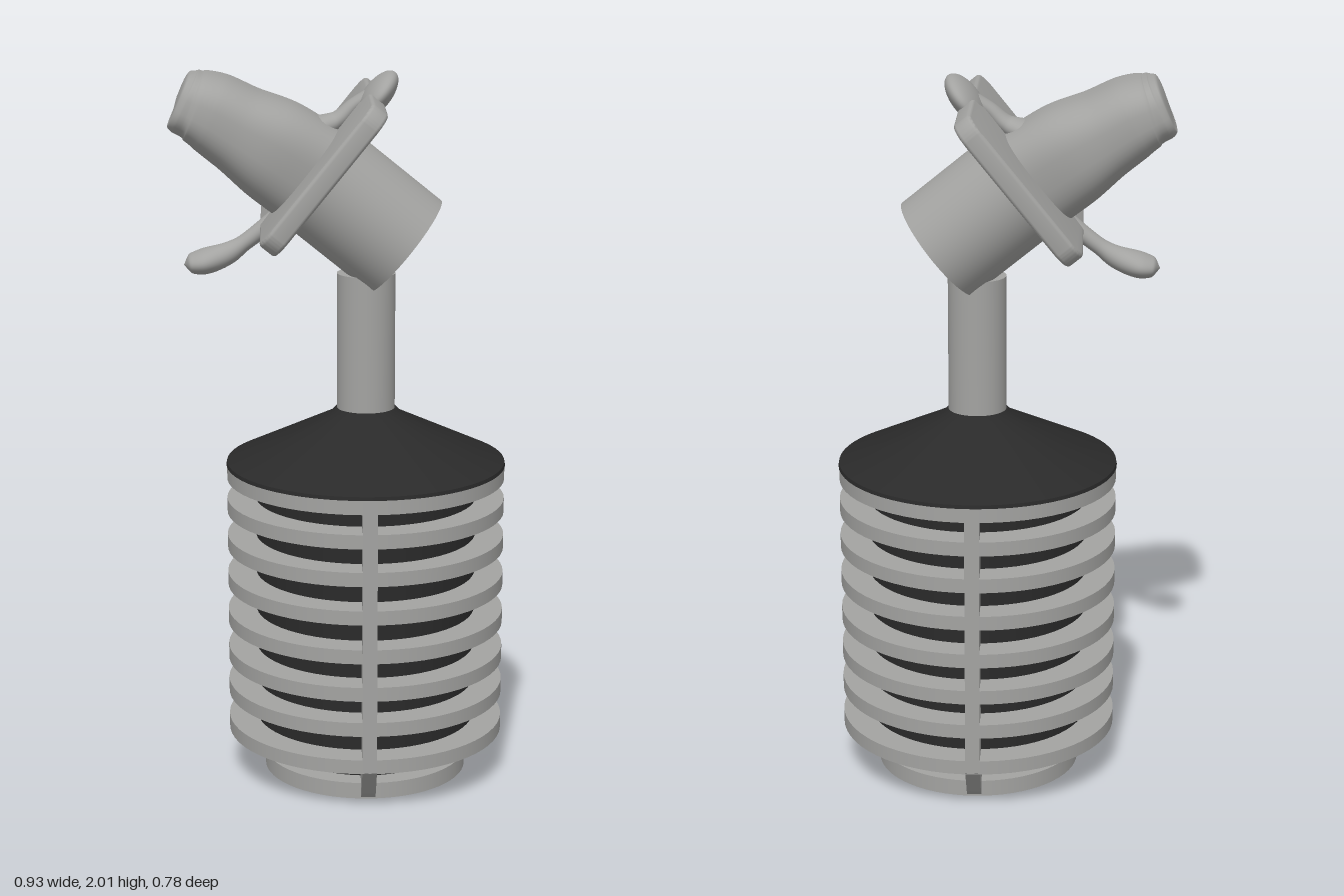
import * as THREE from 'three';
import { toCreasedNormals } from 'three/addons/utils/BufferGeometryUtils.js';

const grey = new THREE.MeshStandardMaterial({ color: 0xa3a3a1 });
grey.name = 'grey metal';
const black = new THREE.MeshStandardMaterial({ color: 0x2a2a2a });
black.name = 'black casing';

function add(parent, name, geometry, material, x = 0, y = 0, z = 0) {
  const mesh = new THREE.Mesh(geometry, material);
  mesh.name = name;
  mesh.position.set(x, y, z);
  parent.add(mesh);
  return mesh;
}

const disc = (r, height) => new THREE.CylinderGeometry(r, r, height, 64);

// Smooth body through sections [x, y, half height, half width] lying in the xy plane.
// Power below 1 squares off the cross-section.
function loft(sections, power = 1, steps = 40, sides = 40) {
  const path = new THREE.CatmullRomCurve3(sections.map(s => new THREE.Vector3(s[0], s[1], 0)));
  const size = new THREE.CatmullRomCurve3(sections.map(s => new THREE.Vector3(s[2], s[3], 0)));
  const bend = v => Math.sign(v) * Math.abs(v) ** power;
  const positions = [], index = [];
  for (let i = 0; i <= steps; i++) {
    const c = path.getPoint(i / steps), t = path.getTangent(i / steps), s = size.getPoint(i / steps);
    const h = Math.max(s.x, 0.0005), w = Math.max(s.y, 0.0005);
    for (let j = 0; j < sides; j++) {
      const a = j / sides * Math.PI * 2, k = h * bend(Math.cos(a));
      positions.push(c.x - t.y * k, c.y + t.x * k, w * bend(Math.sin(a)));
      if (i < steps) {
        const p = i * sides + j, q = i * sides + (j + 1) % sides;
        index.push(p, q, p + sides, q, q + sides, p + sides);
      }
    }
  }
  const g = new THREE.BufferGeometry();
  g.setAttribute('position', new THREE.Float32BufferAttribute(positions, 3));
  g.setIndex(index);
  g.computeVertexNormals();
  return g;
}

function roundedRect(w, h, r) {
  const s = new THREE.Shape(), x = w / 2 - r, y = h / 2 - r;
  s.absarc(x, y, r, 0, Math.PI / 2);
  s.absarc(-x, y, r, Math.PI / 2, Math.PI);
  s.absarc(-x, -y, r, Math.PI, Math.PI * 1.5);
  s.absarc(x, -y, r, Math.PI * 1.5, Math.PI * 2);
  s.closePath();
  return s;
}

export function createModel() {
  const model = new THREE.Group();
  model.name = 'finnedDevice';

  // Finned canister, standing slightly off centre
  const canister = new THREE.Group();
  canister.name = 'canister';
  canister.position.x = 0.073;
  model.add(canister);
  add(canister, 'base', disc(0.287, 0.046), grey, 0, 0.033);
  add(canister, 'lowerCore', disc(0.23, 0.12), black, 0, 0.1);
  add(canister, 'core', disc(0.31, 0.76), black, 0, 0.52);
  for (const y of [0.145, 0.254, 0.356, 0.464, 0.575, 0.684, 0.79, 0.886]) {
    add(canister, 'fin', disc(0.39, 0.04), grey, 0, y);
  }

  // Upright ribs joining the fins, front and back
  const ribShape = new THREE.Shape([
    [0.22, 0], [0.275, 0.005], [0.31, 0.035], [0.39, 0.128], [0.39, 0.9], [0.29, 0.9], [0.29, 0.13], [0.22, 0.06],
  ].map(p => new THREE.Vector2(...p)));
  const ribGeometry = new THREE.ExtrudeGeometry(ribShape, { depth: 0.04, bevelEnabled: false });
  ribGeometry.translate(0, 0, -0.02);
  for (const side of [-1, 1]) {
    add(canister, 'rib', ribGeometry, grey).rotation.y = side * Math.PI / 2;
  }

  // Conical lid and pole
  const lid = [[0, 0.906], [0.392, 0.906], [0.39, 0.916], [0.1, 1.052], [0.085, 1.068], [0, 1.07]];
  add(canister, 'lid', toCreasedNormals(
    new THREE.LatheGeometry(lid.map(p => new THREE.Vector2(...p)), 64), 0.7), black);
  add(canister, 'pole', disc(0.081, 0.4), grey, 0, 1.25);

  // Tilted head: local y runs along the barrel, local x along the plate
  const head = new THREE.Group();
  head.name = 'head';
  head.position.set(-0.05, 1.7525, 0);
  head.rotation.z = THREE.MathUtils.degToRad(51);
  model.add(head);

  const barrel = add(head, 'barrel', disc(0.17, 0.322), grey, -0.033, -0.161);
  barrel.scale.x = 0.94;

  const plate = new THREE.ExtrudeGeometry(roundedRect(0.46, 0.68, 0.05), {
    depth: 0.035, bevelThickness: 0.01, bevelSize: 0.01, bevelSegments: 3, curveSegments: 10,
  });
  plate.translate(0, 0, -0.0175);
  plate.rotateX(Math.PI / 2);
  add(head, 'plate', toCreasedNormals(plate, 0.6), grey);

  // Wedge-shaped grip with a ridged end
  add(head, 'grip', loft([
    [-0.04, 0, 0.147, 0.15], [-0.05, 0.13, 0.14, 0.17], [-0.065, 0.24, 0.118, 0.171],
    [-0.076, 0.32, 0.108, 0.169], [-0.088, 0.365, 0.097, 0.161], [-0.093, 0.38, 0.09, 0.152],
    [-0.098, 0.397, 0.088, 0.148], [-0.102, 0.415, 0.075, 0.128], [-0.104, 0.421, 0, 0],
  ], 0.75, 64, 48), grey);

  // Neck running from the grip over the plate to the thumb pad
  add(head, 'neck', loft([
    [-0.02, 0.1, 0.05, 0.13], [0.06, 0.075, 0.035, 0.09], [0.12, 0.042, 0.025, 0.038],
    [0.18, 0.032, 0.02, 0.03], [0.25, 0.012, 0.015, 0.04],
  ]), grey);
  const pad = add(head, 'thumbPad', new THREE.SphereGeometry(1, 40, 24), grey, 0.243, 0, 0);
  pad.scale.set(0.077, 0.036, 0.115);

  // Curved lever with a rounded tip below the plate
  add(head, 'lever', loft([
    [-0.15, 0, 0.02, 0.03], [-0.216, 0.009, 0.024, 0.03], [-0.297, 0.027, 0.023, 0.03],
    [-0.355, 0.046, 0.031, 0.04], [-0.412, 0.082, 0.035, 0.065], [-0.44, 0.107, 0.027, 0.052],
    [-0.455, 0.12, 0, 0],
  ]), grey);

  return model;
}
